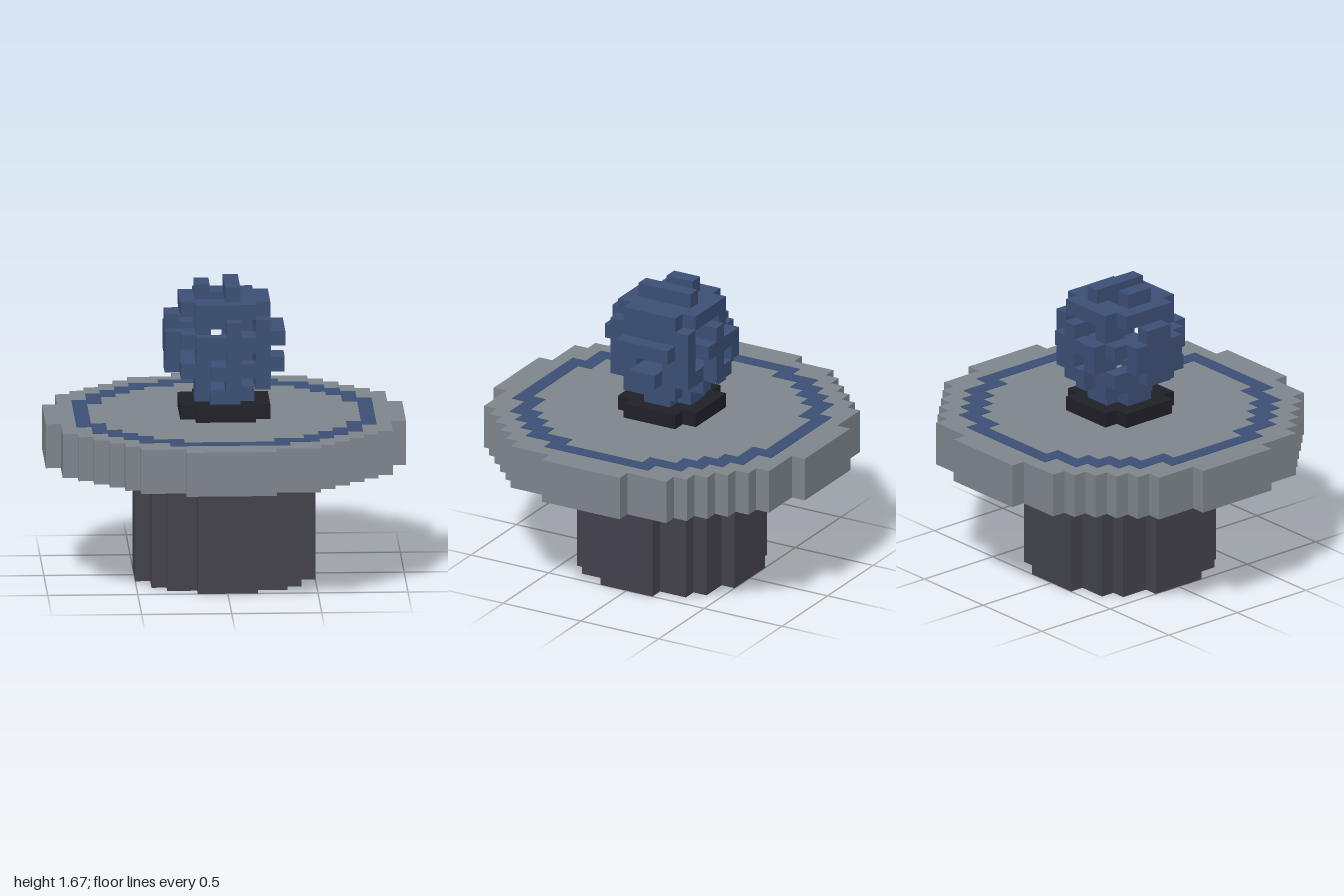
import * as THREE from 'three';
import { mergeGeometries } from 'three/addons/utils/BufferGeometryUtils.js';

const U = 1 / 12; // size of one block

const material = (name, color) => {
  const m = new THREE.MeshStandardMaterial({ color });
  m.name = name;
  return m;
};

// Stepped round outline; halves[i] is the half width of the row i blocks from the centre
function outline(halves, Type = THREE.Shape) {
  const n = halves.length;
  const right = [];
  for (let i = -n; i < n; i++) {
    const h = halves[i >= 0 ? i : -1 - i];
    const last = right[right.length - 1];
    if (last && last.x === h * U) last.y = (i + 1) * U;
    else right.push(new THREE.Vector2(h * U, i * U), new THREE.Vector2(h * U, (i + 1) * U));
  }
  const left = right.map((p) => new THREE.Vector2(-p.x, p.y)).reverse();
  return new Type([...right, ...left]);
}

// Upright prism over a stepped outline
function slab(name, shape, y, height, mat) {
  const geo = new THREE.ExtrudeGeometry(shape, { depth: height, bevelEnabled: false });
  geo.rotateX(-Math.PI / 2);
  const mesh = new THREE.Mesh(geo, mat);
  mesh.name = name;
  mesh.position.y = y;
  return mesh;
}

// Hollow sphere of blocks, pierced where both the column and the row are odd
function globeGeometry() {
  const filled = (x, y, z) => {
    const r2 = (x + 0.5) ** 2 + (y + 0.5) ** 2 + (z + 0.5) ** 2;
    return r2 > 8 && r2 < 16 && (x % 2 === 0 || y % 2 === 0);
  };
  const sides = [[1, 0, 0], [-1, 0, 0], [0, 1, 0], [0, -1, 0], [0, 0, 1], [0, 0, -1]];
  const forward = new THREE.Vector3(0, 0, 1);
  const faces = [];
  for (let x = -4; x < 4; x++)
    for (let y = -4; y < 4; y++)
      for (let z = -4; z < 4; z++) {
        if (!filled(x, y, z)) continue;
        for (const [a, b, c] of sides) {
          if (filled(x + a, y + b, z + c)) continue;
          const face = new THREE.PlaneGeometry(U, U);
          const normal = new THREE.Vector3(a, b, c);
          face.applyQuaternion(new THREE.Quaternion().setFromUnitVectors(forward, normal));
          face.translate((x + 0.5 + a / 2) * U, (y + 0.5 + b / 2) * U, (z + 0.5 + c / 2) * U);
          faces.push(face);
        }
      }
  return mergeGeometries(faces);
}

export function createModel() {
  const group = new THREE.Group();
  group.name = 'globePedestal';
  const charcoal = material('charcoal', 0x42414a);
  const grey = material('stone grey', 0x7d848b);
  const blue = material('dark blue', 0x3b4e74);
  const black = material('near black', 0x201f27);

  // Pedestal and round top
  group.add(slab('pedestal', outline([6, 6, 5, 5, 4, 2]), 0, 8 * U, charcoal));
  group.add(slab('tableTop', outline([12, 12, 12, 11, 11, 11, 10, 9, 8, 7, 6, 3]), 8 * U, 3 * U, grey));

  // Painted ring on the top
  const ring = outline([10, 10, 10, 10, 9, 9, 8, 7, 6, 4]);
  ring.holes.push(outline([9, 9, 9, 8, 8, 7, 6, 5, 3], THREE.Path));
  group.add(slab('inlaidRing', ring, 11 * U, 0.003, blue));

  // Foot plate and lattice globe
  group.add(slab('globeFoot', outline([3, 3, 2]), 11 * U, U, black));
  const globe = new THREE.Mesh(globeGeometry(), blue);
  globe.name = 'latticeGlobe';
  globe.position.y = 16 * U;
  group.add(globe);

  return group;
}
